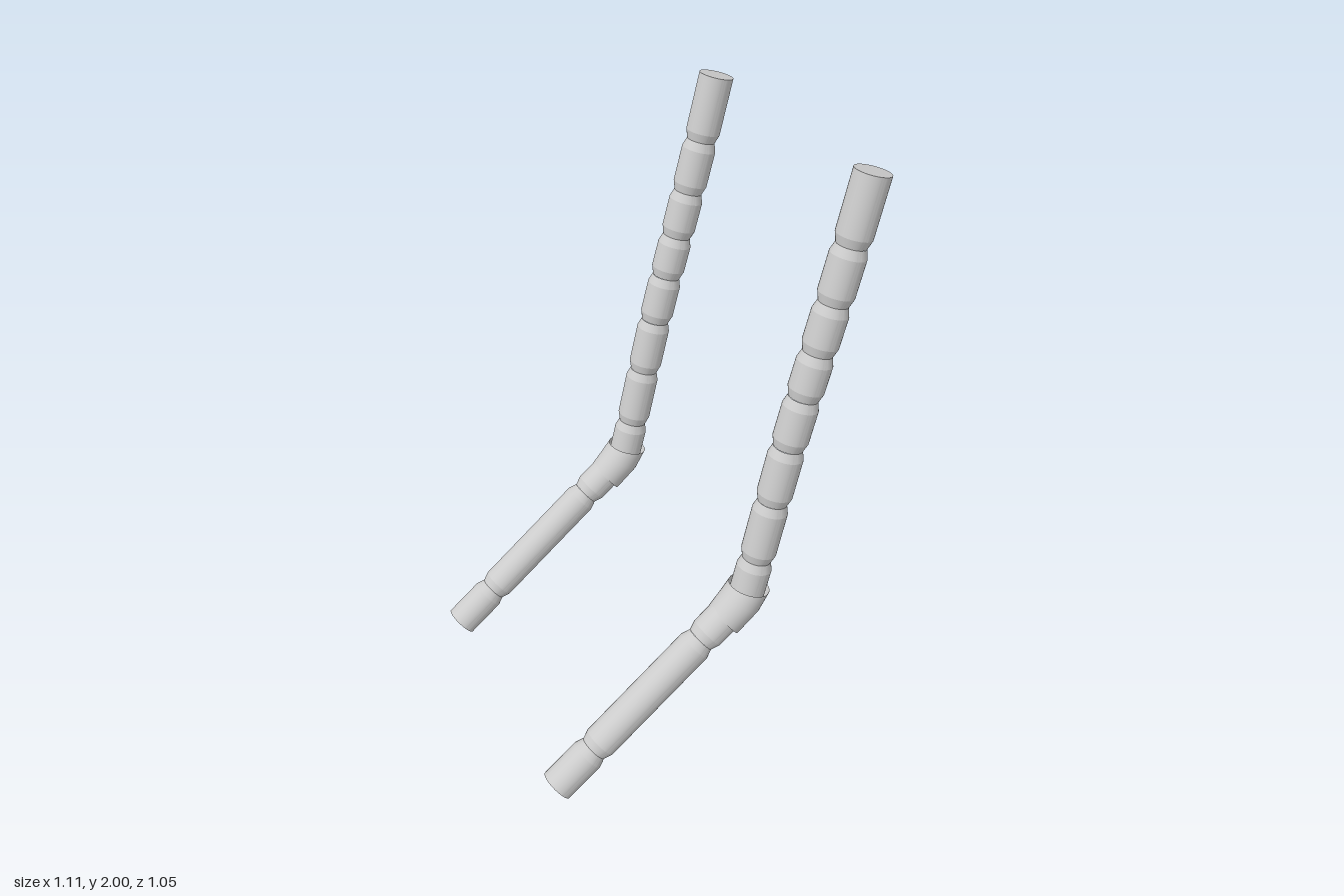
import * as THREE from 'three';
import { toCreasedNormals } from 'three/addons/utils/BufferGeometryUtils.js';

const SIDES = 40, R = 0.057, NECK = 0.047, BEVEL = 0.03;
const material = new THREE.MeshStandardMaterial({ color: 0xcccccc });
const sheet = new THREE.MeshStandardMaterial({ color: 0xcccccc, side: THREE.DoubleSide });

// One tube section between two points; its ends are capped or narrow to a neck
function section(a, b, capStart, capEnd) {
  const from = new THREE.Vector3(a[0], a[1], 0);
  const dir = new THREE.Vector3(b[0], b[1], 0).sub(from);
  const length = dir.length();
  const profile = [
    ...(capStart ? [[0, 0], [R, 0]] : [[NECK, 0], [R, BEVEL]]),
    ...(capEnd ? [[R, length], [0, length]] : [[R, length - BEVEL], [NECK, length]]),
  ].map(([r, y]) => new THREE.Vector2(r, y));
  const mesh = new THREE.Mesh(toCreasedNormals(new THREE.LatheGeometry(profile, SIDES), 0.25), material);
  mesh.position.copy(from);
  mesh.quaternion.setFromUnitVectors(new THREE.Vector3(0, 1, 0), dir.normalize());
  return mesh;
}

// A row of sections, separated by necks
function tube(name, points) {
  const group = new THREE.Group();
  group.name = name;
  for (let i = 0; i < points.length - 1; i++) {
    const part = section(points[i], points[i + 1], i === 0, i === points.length - 2);
    part.name = name + 'Section' + (i + 1);
    group.add(part);
  }
  return group;
}

// Bent sleeve: each ring is [x, y, radius, axis angle in degrees], from bottom to top
function elbowCollar() {
  const rings = [
    [0.078, 0.527, 0.052, 39],
    [0.078, 0.527, 0.064, 39],
    [0.137, 0.586, 0.069, 58],
    [0.169, 0.635, 0.068, 74.3],
  ];
  const geometry = new THREE.CylinderGeometry(1, 1, 1, SIDES, rings.length - 1, true);
  const p = geometry.attributes.position;
  for (let i = 0; i < p.count; i++) {
    const [x, y, r, angle] = rings[Math.round((p.getY(i) + 0.5) * (rings.length - 1))];
    const t = THREE.MathUtils.degToRad(angle);
    const across = p.getX(i) * r;
    p.setXYZ(i, x + across * Math.sin(t), y - across * Math.cos(t), p.getZ(i) * r);
  }
  const mesh = new THREE.Mesh(toCreasedNormals(geometry, 0.25), sheet);
  mesh.name = 'elbowCollar';
  return mesh;
}

function createModel() {
  const model = new THREE.Group();
  model.name = 'jointedTubes';
  for (const side of [1, -1]) {
    const limb = new THREE.Group();
    limb.name = side > 0 ? 'frontTube' : 'backTube';
    limb.add(
      tube('lowerTube', [[-0.52, 0.044], [-0.387, 0.153], [-0.003, 0.472], [0.137, 0.586]]),
      elbowCollar(),
      tube('upperTube', [
        [0.155, 0.59], [0.191, 0.737], [0.237, 0.942], [0.281, 1.132], [0.323, 1.297],
        [0.362, 1.442], [0.403, 1.597], [0.448, 1.772], [0.5, 1.987],
      ]),
    );
    limb.position.z = side * 0.457;
    model.add(limb);
  }
  return model;
}

export { createModel };
